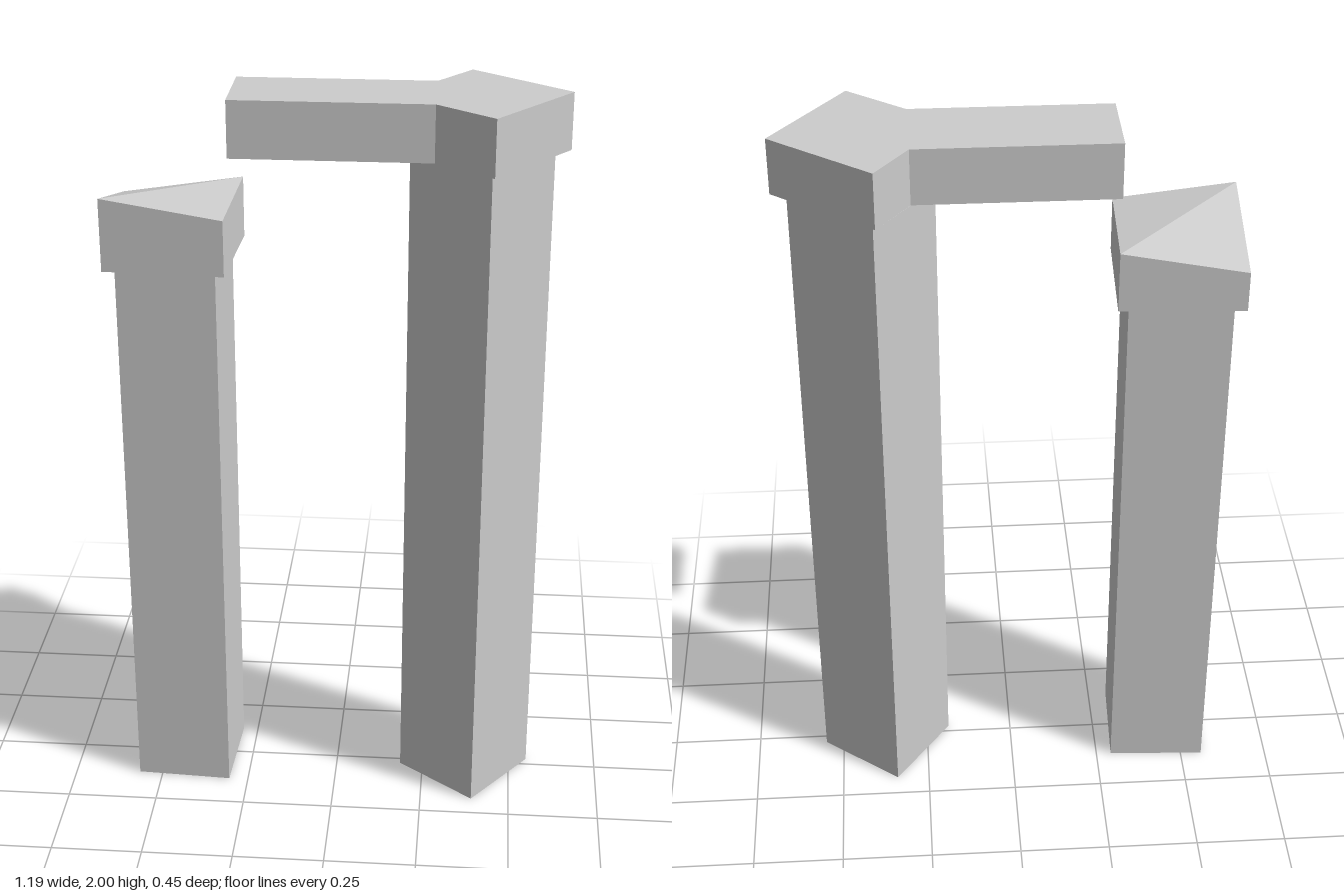
import * as THREE from 'three';

const stone = new THREE.MeshStandardMaterial({ color: 0xcccccc });
stone.name = 'grey stone';
stone.side = THREE.DoubleSide;
stone.flatShading = true;

// Upright prism over an [x, z] outline; top may be one height or one per corner.
// Lids are fanned from the first corner; bottomOutline null leaves it open.
function prism(name, outline, y0, top, bottomOutline = outline) {
  const pos = [];
  const tri = (...corners) => corners.forEach((c) => pos.push(...c));
  const at = (p, y) => [p[0], y, p[1]];
  const n = outline.length;
  const low = outline.map((p) => at(p, y0));
  const high = outline.map((p, i) => at(p, Array.isArray(top) ? top[i] : top));
  for (let i = 0; i < n; i++) {
    const j = (i + 1) % n;
    tri(low[i], high[i], high[j]);
    tri(low[i], high[j], low[j]);
  }
  for (let i = 1; i < n - 1; i++) tri(high[0], high[i + 1], high[i]);
  if (bottomOutline) {
    const b = bottomOutline.map((p) => at(p, y0));
    for (let i = 1; i < b.length - 1; i++) tri(b[0], b[i], b[i + 1]);
  }
  const geo = new THREE.BufferGeometry();
  geo.setAttribute('position', new THREE.Float32BufferAttribute(pos, 3));
  geo.computeVertexNormals();
  const mesh = new THREE.Mesh(geo, stone);
  mesh.name = name;
  return mesh;
}

// Shrinks an outline about its middle
function inset(outline, s) {
  const cx = outline.reduce((a, p) => a + p[0], 0) / outline.length;
  const cz = outline.reduce((a, p) => a + p[1], 0) / outline.length;
  return outline.map(([x, z]) => [cx + (x - cx) * s, cz + (z - cz) * s]);
}

export function createModel() {
  const group = new THREE.Group();
  group.name = 'brokenGateway';

  // Short pillar with a slanted, broken capital
  const shortCap = [[-0.595, 0.15], [-0.588, -0.17], [-0.263, -0.152], [-0.277, 0.167]];
  group.add(prism('shortPillar', inset(shortCap, 0.825), 0, 1.555));
  group.add(prism('shortCapital', shortCap, 1.555, [1.75, 1.665, 1.72, 1.705]));

  // Tall turned pillar
  const tallCap = [[0.145, 0.027], [0.335, -0.228], [0.592, -0.031], [0.4, 0.224]];
  group.add(prism('tallPillar', inset(tallCap, 0.82), 0, 1.85));

  // Capital with the remaining lintel, open underneath the lintel
  const lintel = [
    [0.248, -0.11], [0.335, -0.228], [0.592, -0.031], [0.4, 0.224],
    [0.25, 0.11], [-0.27, 0.11], [-0.27, -0.11],
  ];
  group.add(prism('tallCapitalAndLintel', lintel, 1.85, 2, tallCap));

  return group;
}
